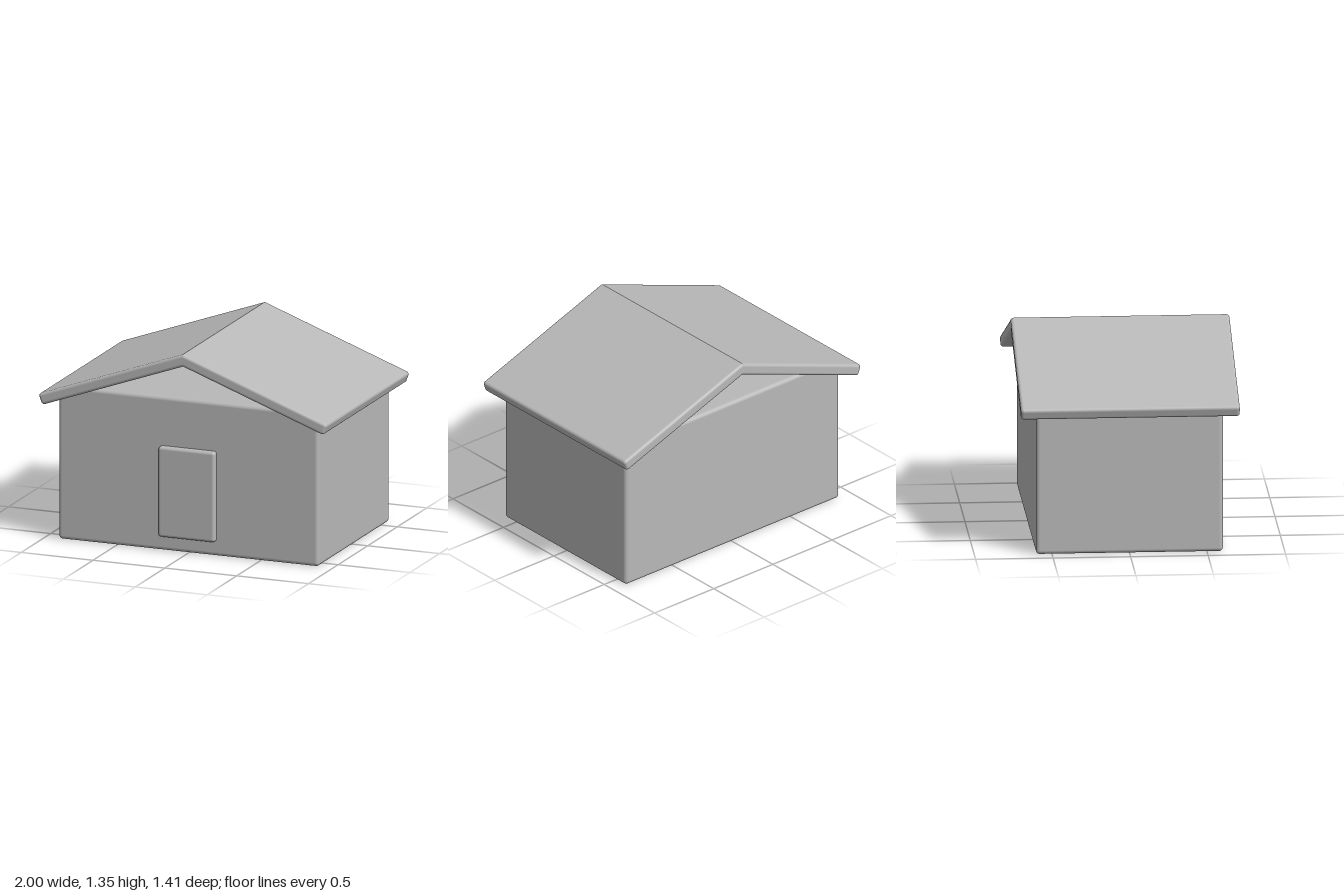
import * as THREE from 'three';
import { RoundedBoxGeometry } from 'three/addons/geometries/RoundedBoxGeometry.js';

const SLOPE = THREE.MathUtils.degToRad(20);
const RIDGE_Y = 1.348;
const THICKNESS = 0.077;
const ROOF_DEPTH = 1.412;
const EAVE_X = 1.006; // sharp corner before rounding

// One roof slab, mitred flat at the ridge plane x = 0; side is +1 or -1
function roofPanelGeometry(side) {
  const extra = 0.1;
  const length = EAVE_X / Math.cos(SLOPE) + extra;
  const geometry = new RoundedBoxGeometry(length, THICKNESS, ROOF_DEPTH, 4, 0.02);
  geometry.translate(side * (length / 2 - extra), -THICKNESS / 2, 0);
  geometry.rotateZ(-side * SLOPE);
  // slide everything past the ridge back along the slope
  const p = geometry.attributes.position;
  for (let i = 0; i < p.count; i++) {
    const over = p.getX(i) * side;
    if (over < 0) p.setXY(i, 0, p.getY(i) + over * Math.tan(SLOPE));
  }
  geometry.translate(0, RIDGE_Y, 0);
  return geometry;
}

export function createModel() {
  const house = new THREE.Group();
  house.name = 'house';
  const grey = new THREE.MeshStandardMaterial({ color: 0xb8b8b8 });
  grey.name = 'grey';

  const add = (name, geometry, x = 0, y = 0, z = 0) => {
    const mesh = new THREE.Mesh(geometry, grey);
    mesh.name = name;
    mesh.position.set(x, y, z);
    house.add(mesh);
  };

  // Walls: one solid block with softened edges
  add('walls', new RoundedBoxGeometry(1.81, 1.025, 1.206, 4, 0.025), 0, 0.5125, 0);

  // Door: slab half sunk in the front wall
  add('door', new RoundedBoxGeometry(0.394, 0.602, 0.08, 4, 0.02), 0, 0.398, 0.603);

  // Gable roof, open at both ends
  add('leftRoofPanel', roofPanelGeometry(1));
  add('rightRoofPanel', roofPanelGeometry(-1));

  return house;
}
